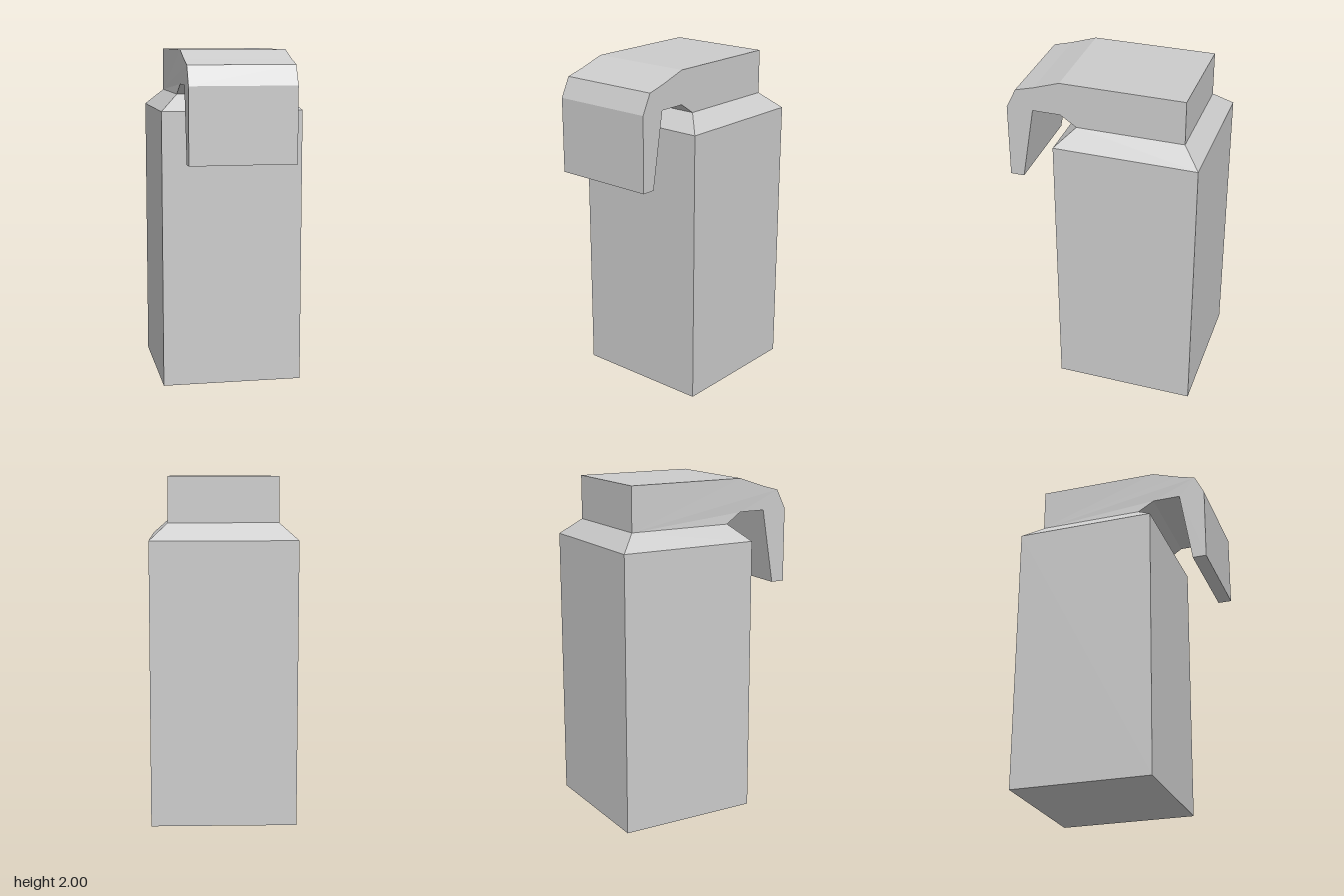
import * as THREE from 'three';

const material = new THREE.MeshStandardMaterial({ color: 0xcccccc, flatShading: true });

function flatMesh(geometry, name) {
  const flat = geometry.index ? geometry.toNonIndexed() : geometry;
  flat.computeVertexNormals();
  const mesh = new THREE.Mesh(flat, material);
  mesh.name = name;
  return mesh;
}

// Square container with sloping shoulders: a four-sided lathe
function createBody() {
  const profile = [[0, 0], [0.42, 0], [0.42, 1.645], [0.315, 1.74]]
    .map(([half, y]) => new THREE.Vector2(half * Math.SQRT2, y));
  const geometry = new THREE.LatheGeometry(profile, 4);
  geometry.rotateY(Math.PI / 4);
  geometry.translate(0, 0, -0.155);
  return flatMesh(geometry, 'body');
}

// Head block and hanging lever share one side profile (z, y), extruded across x
function createHead() {
  const profile = [
    [-0.47, 1.74], [0.16, 1.74], [0.255, 1.803], [0.42, 1.803], [0.495, 1.36], [0.577, 1.36],
    [0.577, 1.803], [0.52, 1.918], [0.41, 1.948], [0.255, 2], [-0.47, 2],
  ].map(([z, y]) => new THREE.Vector2(z, y));
  const geometry = new THREE.ExtrudeGeometry(new THREE.Shape(profile), { depth: 0.63, bevelEnabled: false });
  geometry.translate(0, 0, -0.315);
  geometry.rotateY(-Math.PI / 2);

  // The lever is slightly narrower on its right side
  const p = geometry.attributes.position;
  for (let i = 0; i < p.count; i++) {
    if (p.getX(i) < 0 && p.getZ(i) > 0.2) p.setX(i, -0.308);
  }
  return flatMesh(geometry, 'headAndLever');
}

export function createModel() {
  const model = new THREE.Group();
  model.name = 'leverTopContainer';
  model.add(createBody(), createHead());
  return model;
}
